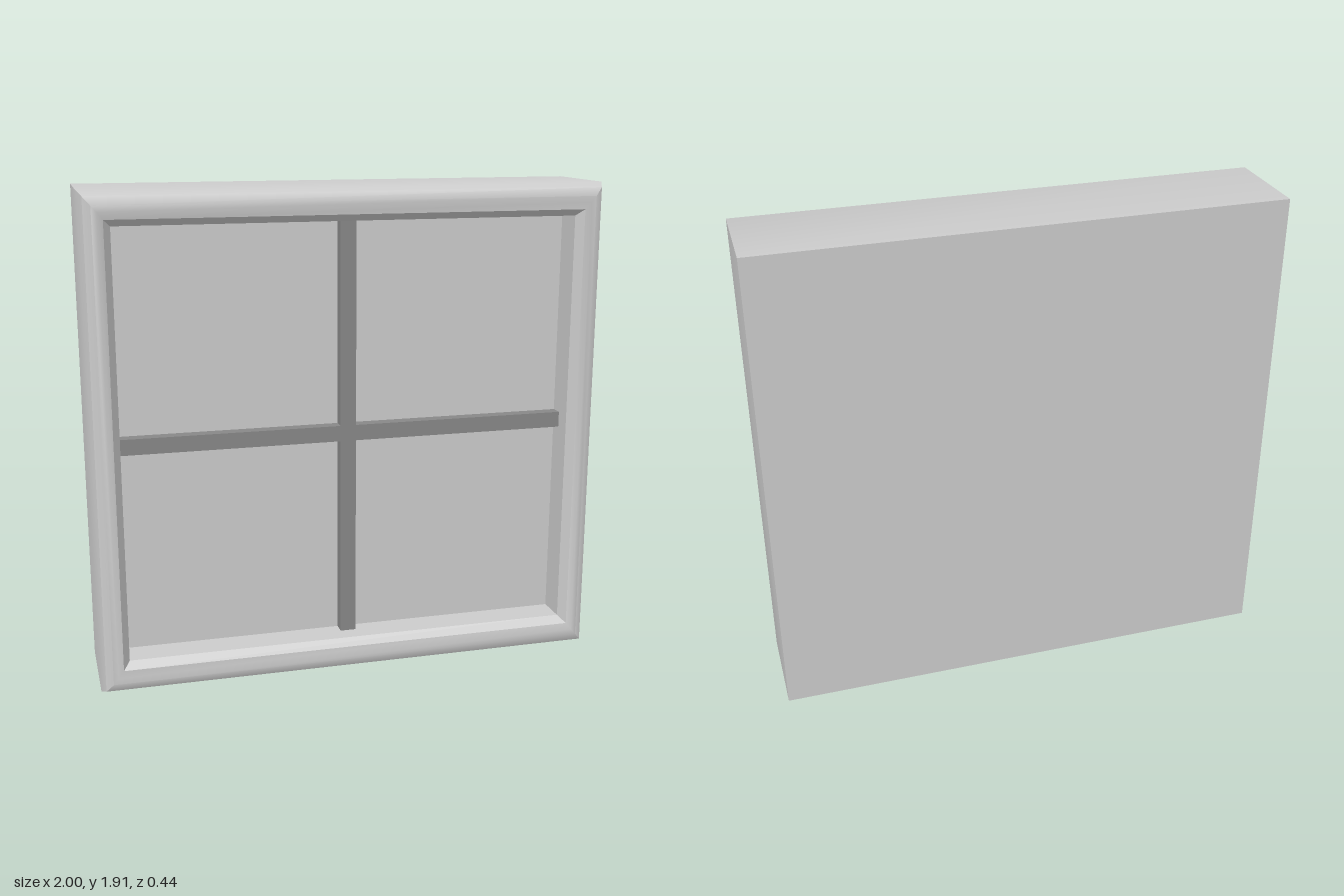
import * as THREE from 'three';
import { toCreasedNormals } from 'three/addons/utils/BufferGeometryUtils.js';

const HALF_W = 1, HALF_H = 0.955, BACK = -0.22, PANE = 0.06;

// Frame cross-section: [inset in x, inset in y, z], from the back round to the pane
const PROFILE = [
  [0.112, 0.126, BACK], [0, 0, BACK], [0, 0, 0.16], [0.017, 0.018, 0.203],
  [0.045, 0.05, 0.22], [0.065, 0.073, 0.22], [0.086, 0.1, 0.213],
  [0.112, 0.126, 0.18], [0.112, 0.126, PANE],
];

// Sweeps the cross-section round a rectangle with mitred corners
function mitredFrame(profile) {
  const corners = [[-1, -1], [1, -1], [1, 1], [-1, 1]];
  const point = ([sx, sy], [ix, iy, z]) => [sx * (HALF_W - ix), sy * (HALF_H - iy), z];
  const positions = [];
  corners.forEach((c, i) => {
    const n = corners[(i + 1) % 4];
    for (let j = 0; j < profile.length - 1; j++) {
      const a = point(c, profile[j]), b = point(n, profile[j]);
      const d = point(c, profile[j + 1]), e = point(n, profile[j + 1]);
      positions.push(...a, ...b, ...e, ...a, ...e, ...d);
    }
  });
  const geometry = new THREE.BufferGeometry();
  geometry.setAttribute('position', new THREE.Float32BufferAttribute(positions, 3));
  return toCreasedNormals(geometry, 0.56);
}

export function createModel() {
  const model = new THREE.Group();
  model.name = 'window';
  const grey = new THREE.MeshStandardMaterial({ color: 0xcccccc });
  const dark = new THREE.MeshStandardMaterial({ color: 0x888888 });

  const add = (name, geometry, material, y = HALF_H, z = 0) => {
    const mesh = new THREE.Mesh(geometry, material);
    mesh.name = name;
    mesh.position.set(0, y, z);
    model.add(mesh);
  };

  // Moulded outer frame
  add('frame', mitredFrame(PROFILE), grey);

  // Recessed pane, solid to the back
  const w = 2 * (HALF_W - 0.112), h = 2 * (HALF_H - 0.126);
  add('pane', new THREE.BoxGeometry(w, h, PANE - BACK), grey, HALF_H, (PANE + BACK) / 2);

  // Crossing glazing bars
  add('verticalBar', new THREE.BoxGeometry(0.062, h, 0.05), dark, HALF_H, PANE + 0.025);
  for (const side of [-1, 1]) {
    const half = new THREE.BoxGeometry(w / 2 - 0.031, 0.062, 0.05);
    half.translate(side * (w / 4 + 0.0155), 0, 0);
    add(side > 0 ? 'leftBar' : 'rightBar', half, dark, HALF_H, PANE + 0.025);
  }
  return model;
}
